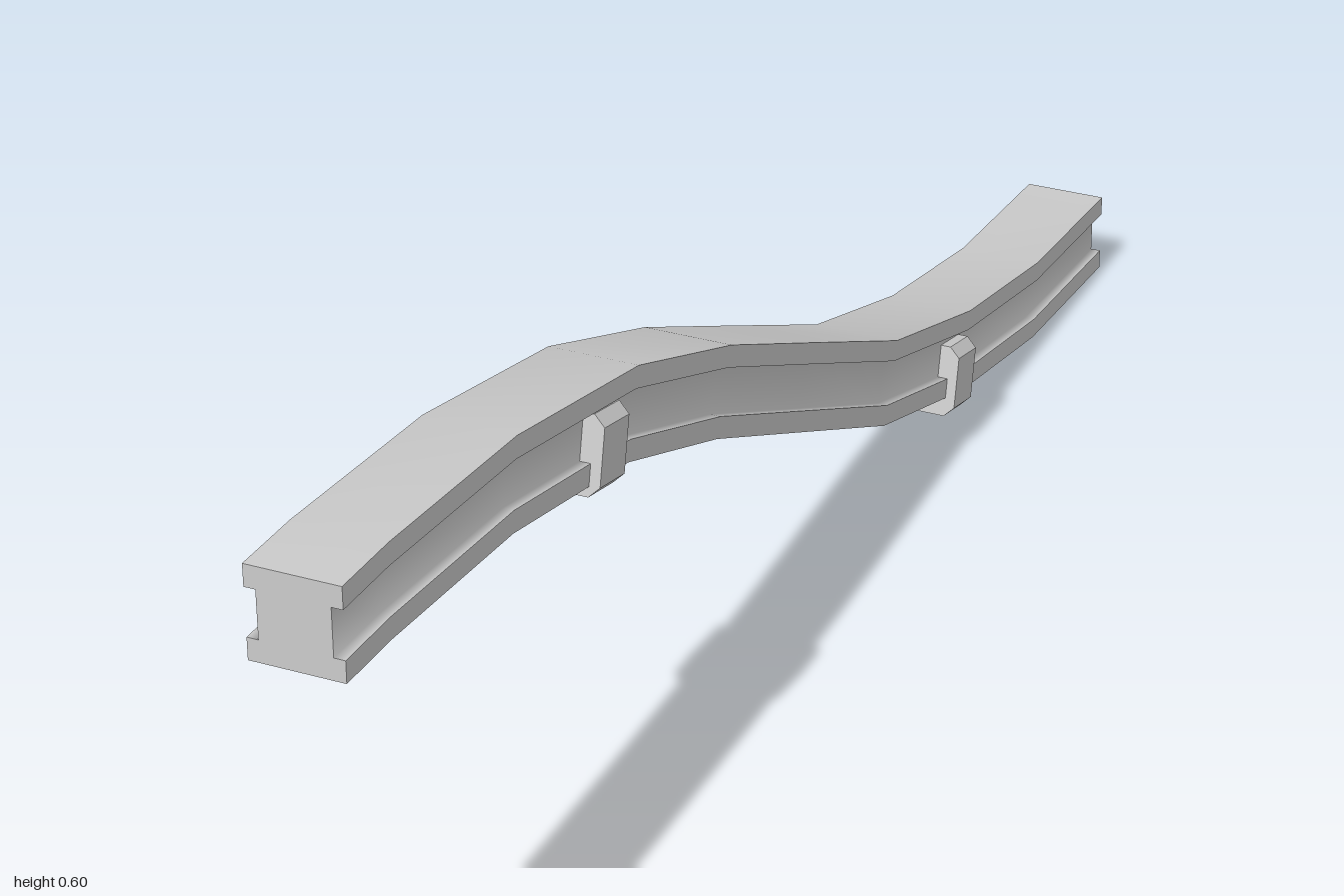
import * as THREE from 'three';

const material = new THREE.MeshStandardMaterial({ color: 0xcccccc });

// Rail centre line as [z, y], from the high front end to the low back end
const path = [
  [1, 0.552], [0.915, 0.551], [0.665, 0.532], [0.405, 0.479], [0.185, 0.396],
  [-0.05, 0.287], [-0.28, 0.18], [-0.52, 0.107], [-0.76, 0.064], [-1, 0.05],
];

// Rail section, counterclockwise seen from the front; each run is smooth, runs meet at hard edges
const W = 0.05, H = 0.05, G = 0.026, D = 0.038;
const runs = [
  [[W, H], [-W, H]],
  [[-W, H], [-W, G]],
  [[-W, G], [-D, G], [-D, -G], [-W, -G]],
  [[-W, -G], [-W, -H]],
  [[-W, -H], [W, -H]],
  [[W, -H], [W, -G]],
  [[W, -G], [D, -G], [D, G], [W, G]],
  [[W, G], [W, H]],
];

// Upward normal of the centre line at station i; the end cuts are vertical
function stationNormal(i) {
  if (i === 0 || i === path.length - 1) return new THREE.Vector2(0, 1);
  const dir = (a, b) => new THREE.Vector2(b[0] - a[0], b[1] - a[1]).normalize();
  const t = dir(path[i - 1], path[i]).add(dir(path[i], path[i + 1])).normalize();
  return new THREE.Vector2(t.y, -t.x);
}

// Sweep one run of the section along the centre line
function sweepRun(run) {
  const positions = [], index = [], n = run.length;
  path.forEach(([z, y], s) => {
    const up = stationNormal(s);
    for (const [px, py] of run) positions.push(px, y + up.y * py, z + up.x * py);
    if (s === path.length - 1) return;
    for (let i = 0; i < n - 1; i++) {
      const a = s * n + i, b = a + 1, c = a + n, d = c + 1;
      index.push(a, c, b, b, c, d);
    }
  });
  const geometry = new THREE.BufferGeometry();
  geometry.setAttribute('position', new THREE.Float32BufferAttribute(positions, 3));
  geometry.setIndex(index);
  geometry.computeVertexNormals();
  return geometry;
}

function addMesh(parent, geometry, name) {
  const mesh = new THREE.Mesh(geometry, material);
  mesh.name = name;
  parent.add(mesh);
  return mesh;
}

function createRail() {
  const rail = new THREE.Group();
  rail.name = 'rail';
  const names = ['railTop', 'rightUpperFlange', 'rightGroove', 'rightLowerFlange',
    'railUnderside', 'leftLowerFlange', 'leftGroove', 'leftUpperFlange'];
  runs.forEach((run, i) => addMesh(rail, sweepRun(run), names[i]));

  // End caps
  const outline = runs.flatMap((run) => run.slice(0, -1)).map(([x, y]) => new THREE.Vector2(x, y));
  const cap = new THREE.ShapeGeometry(new THREE.Shape(outline));
  addMesh(rail, cap, 'frontCap').position.set(0, path[0][1], 1);
  const back = addMesh(rail, cap, 'backCap');
  back.position.set(0, path[path.length - 1][1], -1);
  back.rotation.y = Math.PI;
  return rail;
}

// Chamfered strap that passes under the rail and grips its sides
function createClampGeometry() {
  const x = 0.062, h = 0.043, c = 0.012, length = 0.057;
  const shape = new THREE.Shape([
    [x - c, -h], [x, -h + c], [x, h - c], [x - c, h],
    [c - x, h], [-x, h - c], [-x, -h + c], [c - x, -h],
  ].map(([px, py]) => new THREE.Vector2(px, py)));
  const geometry = new THREE.ExtrudeGeometry(shape, { depth: length, bevelEnabled: false });
  return geometry.translate(0, 0, -length / 2);
}

export function createModel() {
  const model = new THREE.Group();
  model.name = 'curvedRail';
  model.add(createRail());

  const clampGeometry = createClampGeometry();
  for (const [name, y, z] of [['frontClamp', 0.4745, 0.474], ['backClamp', 0.0885, -0.488]]) {
    const clamp = addMesh(model, clampGeometry, name);
    clamp.position.set(0, y, z);
    clamp.rotation.x = -0.21;
  }
  return model;
}
